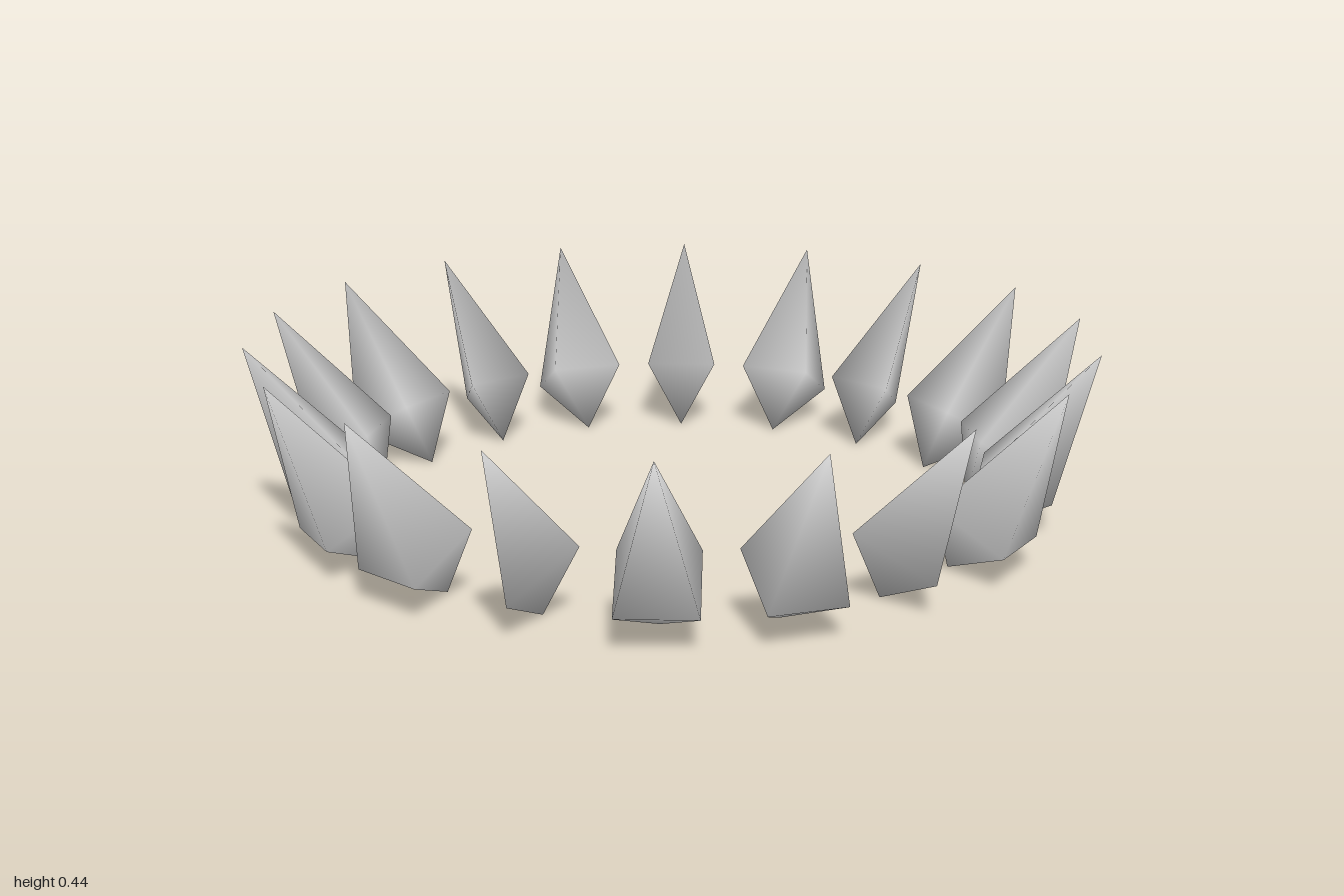
import * as THREE from 'three';

// Spike at the front of the ring; +z points outward.
const TIP = [0, 0.445, 1];
const APEX = [0, 0, 0.732];
const HALF_WIDTH = 0.09;
const INNER = { y: 0.168, z: 0.738 };
const OUTER = { y: 0.078, z: 0.905 };

const COUNT = 18;
// Places in the ring that hold a three-sided spike; the rest are four-sided.
const THREE_SIDED = new Set([1, 4, 6, 9, 11, 13, 15, 16]);

// Two points joined by a closed belt of corners, smoothly shaded.
function spindle(belt) {
  const index = [];
  belt.forEach((_, i) => {
    const a = 2 + i;
    const b = 2 + ((i + 1) % belt.length);
    index.push(0, a, b, 1, b, a);
  });
  const geometry = new THREE.BufferGeometry();
  geometry.setAttribute('position', new THREE.Float32BufferAttribute([TIP, APEX, ...belt].flat(), 3));
  geometry.setIndex(index);
  geometry.computeVertexNormals();
  return geometry;
}

export function createModel() {
  const group = new THREE.Group();
  group.name = 'spikeRing';
  const material = new THREE.MeshStandardMaterial({ color: 0xcccccc });

  // Both kinds share the inner edge; the outside is a flat face or a single ridge.
  const inner = [1, -1].map((s) => [s * HALF_WIDTH, INNER.y, INNER.z]);
  const outer = [-1, 1].map((s) => [s * HALF_WIDTH, OUTER.y, OUTER.z]);
  const fourSided = spindle([...inner, ...outer]);
  const threeSided = spindle([...inner, [0, OUTER.y, OUTER.z]]);

  // Evenly spaced spikes leaning outward
  for (let i = 0; i < COUNT; i++) {
    const ridged = THREE_SIDED.has(i);
    const spike = new THREE.Mesh(ridged ? threeSided : fourSided, material);
    spike.name = `${ridged ? 'threeSidedSpike' : 'fourSidedSpike'}${i + 1}`;
    spike.rotation.y = (i / COUNT) * Math.PI * 2;
    group.add(spike);
  }
  return group;
}
